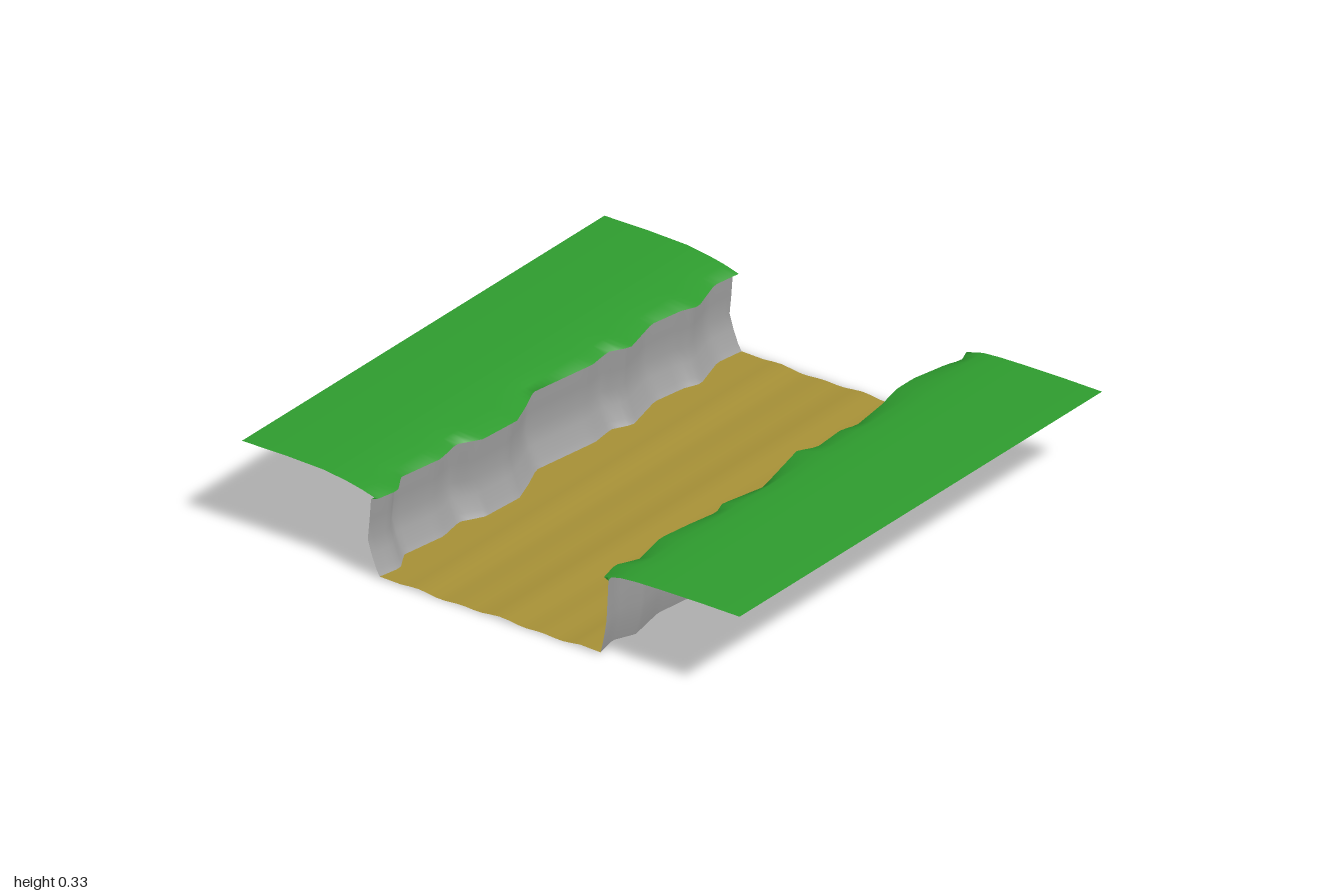
import * as THREE from 'three';

const HALF = 0.98, ROWS = 80;

const grassGreen = new THREE.MeshStandardMaterial({ color: 0x2e9b2e, side: THREE.DoubleSide });
grassGreen.name = 'grassGreen';
const rockGrey = new THREE.MeshStandardMaterial({ color: 0x9c9c9c, side: THREE.DoubleSide });
rockGrey.name = 'rockGrey';
const sandTan = new THREE.MeshStandardMaterial({ color: 0xa58f36, side: THREE.DoubleSide });
sandTan.name = 'sandTan';

// Ragged bank edges as [z, x], running from back to front
const negEdge = [[-.98, -.46], [-.87, -.476], [-.72, -.428], [-.66, -.455], [-.53, -.476], [-.36, -.433],
  [-.29, -.473], [-.19, -.46], [.08, -.499], [.18, -.455], [.27, -.422], [.44, -.433], [.52, -.481],
  [.63, -.46], [.81, -.487], [.89, -.439], [.98, -.457]];
const posEdge = [[-.98, .455], [-.925, .476], [-.87, .455], [-.73, .428], [-.64, .428], [-.52, .455],
  [-.36, .476], [-.3, .455], [-.16, .465], [-.1, .428], [.17, .492], [.34, .455], [.4, .476],
  [.52, .455], [.65, .438], [.81, .471], [.89, .433], [.98, .455]];

function edgeAt(edge, z) {
  let i = 1;
  while (i < edge.length - 1 && edge[i][0] < z) i++;
  const [z0, x0] = edge[i - 1], [z1, x1] = edge[i];
  return x0 + (x1 - x0) * (z - z0) / (z1 - z0);
}

// Sweep a profile of [x, y, sway] along z; sway says how far a point follows the ragged edge
function sweep(name, profile, material) {
  const pos = [], index = [], n = profile.length;
  for (let r = 0; r <= ROWS; r++) {
    const z = -HALF + 2 * HALF * r / ROWS;
    const neg = edgeAt(negEdge, z) + 0.46, plus = edgeAt(posEdge, z) - 0.458;
    profile.forEach(([x, y, sway], j) => {
      pos.push(x + sway * (x < 0 ? neg : plus), y, z);
      if (r < ROWS && j < n - 1) {
        const a = r * n + j;
        index.push(a, a + n, a + 1, a + 1, a + n, a + n + 1);
      }
    });
  }
  const geo = new THREE.BufferGeometry();
  geo.setAttribute('position', new THREE.Float32BufferAttribute(pos, 3));
  geo.setIndex(index);
  geo.computeVertexNormals();
  const mesh = new THREE.Mesh(geo, material);
  mesh.name = name;
  return mesh;
}

export function createModel() {
  const model = new THREE.Group();
  model.name = 'riverbed';

  // Grassy banks, each dipping towards its lip and curling under it
  model.add(sweep('rightBank', [[-1, .33, 0], [-.82, .331, 0], [-.67, .327, 0], [-.58, .315, 0],
    [-.52, .303, 0], [-.46, .286, 1], [-.484, .279, .95]], grassGreen));
  model.add(sweep('leftBank', [[.476, .279, .95], [.458, .286, 1], [.52, .303, 0], [.58, .308, 0],
    [.7, .311, 0], [.85, .312, 0], [1, .311, 0]], grassGreen));

  // Rock walls, hollowed below the lip and flaring at the foot
  model.add(sweep('rightWall', [[-.484, .279, .95], [-.49, .2, .95], [-.497, .13, .95],
    [-.482, .08, .95], [-.462, .03, .95], [-.449, .008, .95]], rockGrey));
  model.add(sweep('leftWall', [[.444, .008, .92], [.452, .04, .92], [.46, .08, .92],
    [.468, .13, .92], [.472, .2, .95], [.476, .279, .95]], rockGrey));

  // Gently rippled sandy floor
  const floor = [[-.449, .008, .95]];
  for (let i = 0; i <= 20; i++) {
    const x = -.36 + .036 * i;
    floor.push([x, .006 + .003 * Math.sin(x * 38) + .003 * Math.sin(x * 17 + 1), 0]);
  }
  floor.push([.444, .008, .92]);
  model.add(sweep('floor', floor, sandTan));

  return model;
}
